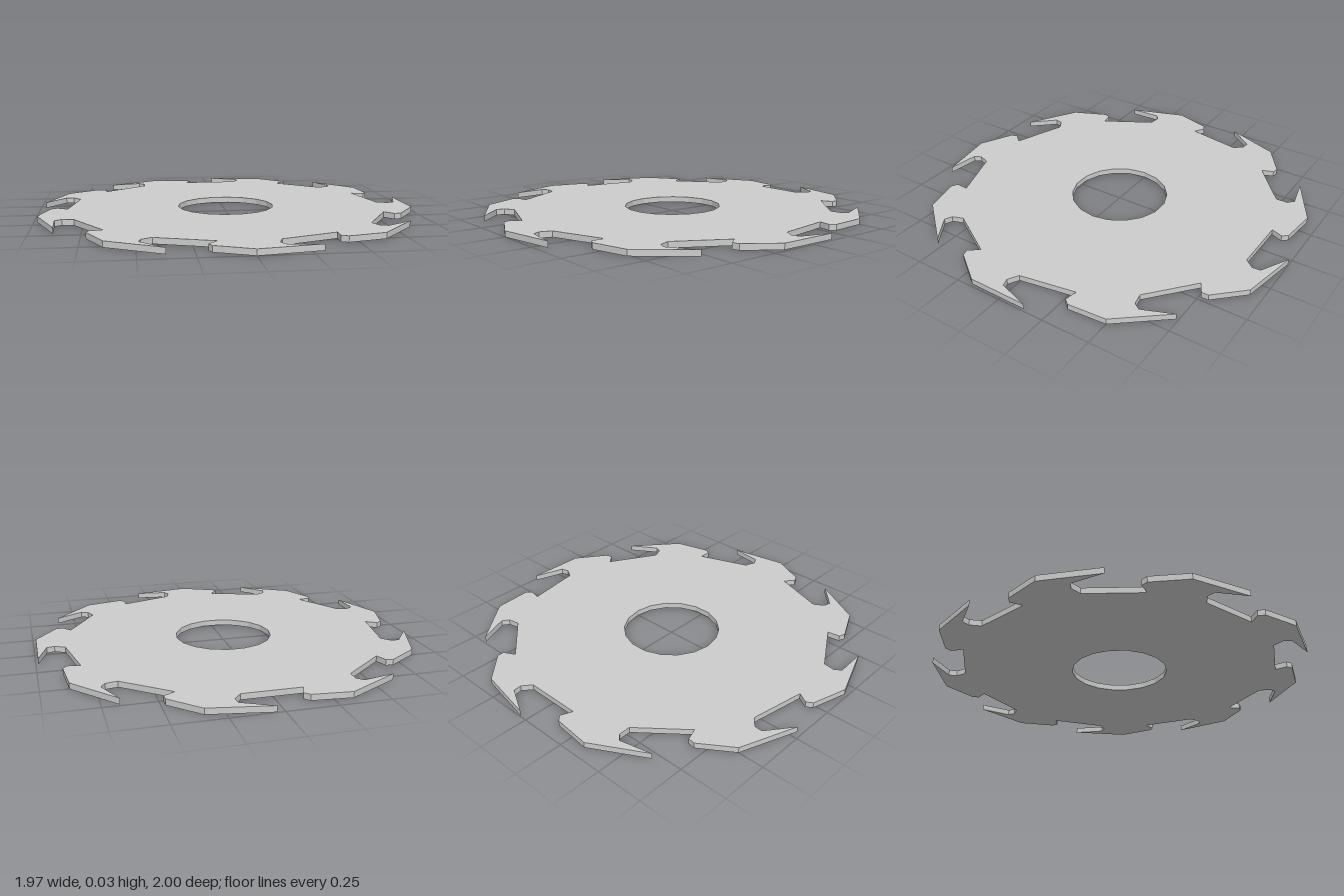
import * as THREE from 'three';

const TEETH = 9;
const THICKNESS = 0.03;
const BORE_RADIUS = 0.256;
const BORE_SIDES = 18;

// One tooth as [radius, degrees from its peak], from the heel round to the gullet
const TOOTH = [
  [0.843, -10.1], // heel foot
  [0.9, -12.3],
  [0.931, -11.0],
  [1.0, 0], // peak
  [0.997, 17.9], // cutting tip
  [0.937, 8.6], // throat under the tip
  [0.897, 7.8],
  [0.843, 9.7], // gullet floor, runs straight to the next heel
];

const polar = (radius, degrees) => {
  const a = THREE.MathUtils.degToRad(degrees);
  return new THREE.Vector2(radius * Math.cos(a), radius * Math.sin(a));
};

export function createModel() {
  const group = new THREE.Group();
  group.name = 'circularSawBlade';

  // Toothed outline
  const outline = [];
  for (let i = 0; i < TEETH; i++) {
    for (const [r, deg] of TOOTH) outline.push(polar(r, -90 + (i * 360) / TEETH + deg));
  }
  const shape = new THREE.Shape(outline);

  // Faceted centre bore
  const bore = [];
  for (let i = 0; i < BORE_SIDES; i++) bore.push(polar(BORE_RADIUS, (-i * 360) / BORE_SIDES));
  shape.holes.push(new THREE.Path(bore));

  // Plate laid flat on the ground
  const geometry = new THREE.ExtrudeGeometry(shape, { depth: THICKNESS, bevelEnabled: false });
  geometry.rotateX(-Math.PI / 2);
  const blade = new THREE.Mesh(
    geometry,
    new THREE.MeshStandardMaterial({ color: 0xcccccc, flatShading: true })
  );
  blade.name = 'toothedBlade';
  group.add(blade);
  return group;
}
